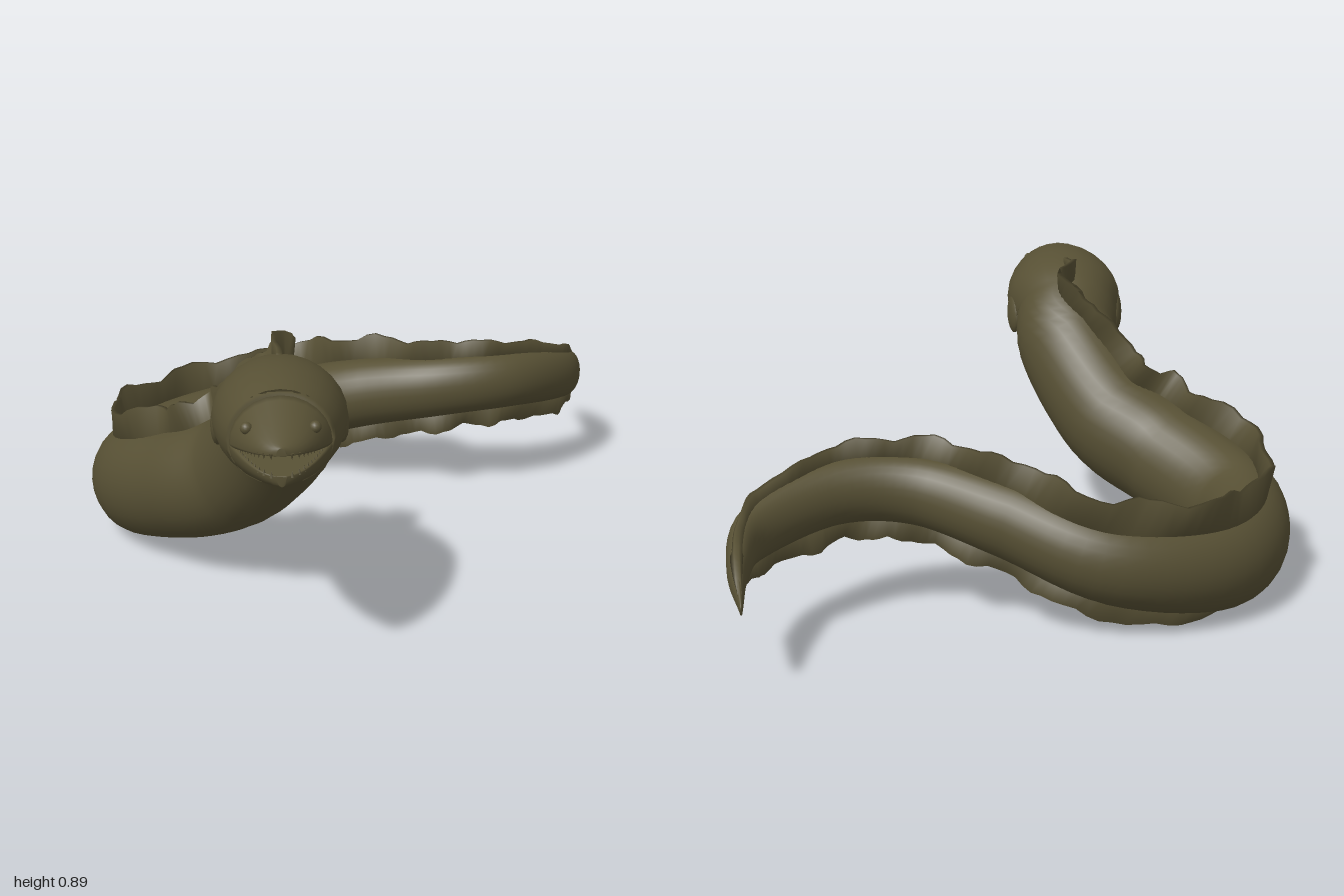
import * as THREE from 'three';

const olive = new THREE.MeshStandardMaterial({ color: 0x575034, side: THREE.DoubleSide });
olive.name = 'olive skin';
const V = (x, y, z) => new THREE.Vector3(x, y, z);
const { lerp, smoothstep } = THREE.MathUtils;
const HX = -0.24; // head centre line

// Stations from head to tail: centre x, y, z, half width, half height
const stations = [
  [HX, 0.735, 0.82, 0.145, 0.13],
  [HX, 0.728, 0.7, 0.18, 0.157],
  [HX, 0.715, 0.585, 0.193, 0.168],
  [HX, 0.675, 0.5, 0.172, 0.178],
  [HX, 0.59, 0.4, 0.166, 0.178],
  [-0.36, 0.395, 0.22, 0.166, 0.178],
  [-0.53, 0.29, 0.08, 0.16, 0.178],
  [-0.71, 0.19, -0.2, 0.15, 0.176],
  [-0.59, 0.175, -0.525, 0.135, 0.155],
  [-0.25, 0.235, -0.67, 0.118, 0.13],
  [0.045, 0.335, -0.56, 0.11, 0.12],
  [0.315, 0.395, -0.455, 0.085, 0.105],
  [0.56, 0.405, -0.485, 0.08, 0.098],
  [0.78, 0.355, -0.66, 0.052, 0.085],
  [0.82, 0.31, -0.83, 0.032, 0.06],
  [0.805, 0.26, -1.0, 0.004, 0.015],
];
const last = stations.length - 1;
const spine = new THREE.CatmullRomCurve3(stations.map((s) => V(s[0], s[1], s[2])), false, 'catmullrom');
const girth = new THREE.CatmullRomCurve3(stations.map((s) => V(s[3], s[4], 0)), false, 'catmullrom');

// Fin heights and sideways lean by station number
const dorsalHeight = (k) => 0.08 * smoothstep(k, 2, 3.1) * (1 - smoothstep(k, 9, 15.3));
const analHeight = (k) => 0.06 * smoothstep(k, 7.5, 9) * (1 - smoothstep(k, 12.5, 15));
const dorsalLean = (k) => -0.068 * smoothstep(k, 5, 7) * (1 - smoothstep(k, 9.2, 11));

// Skin closed rings of equal length and cap both ends
function loft(rings) {
  const n = rings[0].length, pos = [], idx = [];
  rings.forEach((r) => r.forEach((p) => pos.push(p.x, p.y, p.z)));
  for (let i = 0; i < rings.length - 1; i++) {
    for (let j = 0; j < n; j++) {
      const a = i * n + j, b = i * n + (j + 1) % n, c = b + n, d = a + n;
      idx.push(a, d, c, a, c, b);
    }
  }
  const end = (rings.length - 1) * n;
  for (let j = 1; j < n - 1; j++) {
    idx.push(0, j, j + 1, end, end + j + 1, end + j);
  }
  const g = new THREE.BufferGeometry();
  g.setAttribute('position', new THREE.Float32BufferAttribute(pos, 3));
  g.setIndex(idx);
  g.computeVertexNormals();
  return g;
}

// Placing function and half sizes at a station number
function frame(k) {
  const t = Math.min(k / last, 1), c = spine.getPoint(t), T = spine.getTangent(t);
  const side = T.clone().cross(V(0, 1, 0)).normalize();
  const up = side.clone().cross(T).normalize();
  const g = girth.getPoint(t);
  const at = (s, u) => c.clone().addScaledVector(side, s).addScaledVector(up, u);
  return { at, hw: Math.max(g.x, 0.003), hh: Math.max(g.y, 0.006) };
}

function bodyGeometry() {
  const rings = [], sides = 28, steps = 7;
  for (let i = 0; i <= last * steps; i++) {
    const { at, hw, hh } = frame(i / steps), ring = [];
    for (let j = 0; j < sides; j++) {
      const a = (j / sides) * Math.PI * 2;
      ring.push(at(hw * Math.cos(a), hh * Math.sin(a)));
    }
    rings.push(ring);
  }
  return loft(rings);
}

// Wavy tapering fin along the back (dir 1) or belly (dir -1)
function finGeometry(from, dir, height, leanAt) {
  const rings = [], steps = Math.round((last - from) * 10);
  for (let i = 0; i <= steps; i++) {
    const k = lerp(from, last, i / steps), { at, hw, hh } = frame(k);
    const h = height(k) * (1 + 0.13 * Math.sin(k * 9.3) + 0.06 * Math.sin(k * 21));
    const lean = leanAt(k), tip = lean + h * 0.24 * Math.sin(k * 6.5);
    const b = Math.min(0.018, hw * 0.6), e = Math.min(0.007, hw * 0.4);
    const root = dir * hh * 0.82, top = dir * (hh + h - 0.004);
    rings.push([
      at(lean * 0.8 + dir * b, root), at(tip + dir * e, top),
      at(tip - dir * e, top), at(lean * 0.8 - dir * b, root),
    ]);
  }
  return loft(rings);
}

// Jaws: s runs from the snout (0) to the hinge (1)
const jawZ = (s) => 1 - 0.21 * s;
const jawWidth = (s) => Math.max(0.013, 0.152 * Math.sqrt(s));
const upper = { dir: 1, outer: (s) => lerp(0.785, 0.871, s), lip: (s) => lerp(0.765, 0.722, s) };
const lower = { dir: -1, outer: (s) => lerp(0.675, 0.597, s), lip: (s) => lerp(0.703, 0.72, s) };

function jawGeometry({ dir, outer, lip }) {
  const rings = [], sides = 24, steps = 10;
  for (let i = 0; i <= steps; i++) {
    const s = (i / steps) ** 2, ring = [];
    for (let j = 0; j < sides; j++) {
      const a = (j / sides) * Math.PI * 2;
      const rise = Math.max(Math.sin(a) * dir, -0.08);
      ring.push(V(HX + jawWidth(s) * Math.cos(a), lerp(lip(s), outer(s), rise), jawZ(s)));
    }
    rings.push(ring);
  }
  return loft(rings);
}

export function createModel() {
  const model = new THREE.Group();
  model.name = 'eel';
  const add = (name, geometry, parent = model) => {
    const m = new THREE.Mesh(geometry, olive);
    m.name = name;
    parent.add(m);
    return m;
  };
  add('body', bodyGeometry());
  add('dorsalFin', finGeometry(2.1, 1, dorsalHeight, dorsalLean));
  add('analFin', finGeometry(7.6, -1, analHeight, () => 0));
  add('upperJaw', jawGeometry(upper));
  add('lowerJaw', jawGeometry(lower));

  // Small teeth along both lips
  const teeth = new THREE.Group();
  teeth.name = 'teeth';
  model.add(teeth);
  const toothGeometry = new THREE.ConeGeometry(0.006, 0.018, 5);
  for (const { dir, lip } of [upper, lower]) {
    for (let i = 0; i < 9; i++) {
      const s = 0.04 + 0.075 * i;
      for (const m of [1, -1]) {
        const tooth = add('tooth', toothGeometry, teeth);
        tooth.position.set(HX + m * jawWidth(s) * 0.9, lip(s) - dir * 0.005, jawZ(s));
        if (dir > 0) tooth.rotation.x = Math.PI;
      }
    }
  }

  // Eyes and gill flaps on both sides
  for (const m of [1, -1]) {
    const side = m > 0 ? 'left' : 'right';
    const eye = add(side + 'Eye', new THREE.SphereGeometry(0.017, 14, 10));
    eye.position.set(HX + m * 0.092, 0.798, 0.885);
    const gill = add(side + 'GillFlap', new THREE.SphereGeometry(1, 18, 12));
    gill.scale.set(0.022, 0.07, 0.05);
    gill.position.set(HX + m * 0.175, 0.68, 0.55);
    gill.rotation.set(0.3, m * 0.15, 0);
  }
  return model;
}
